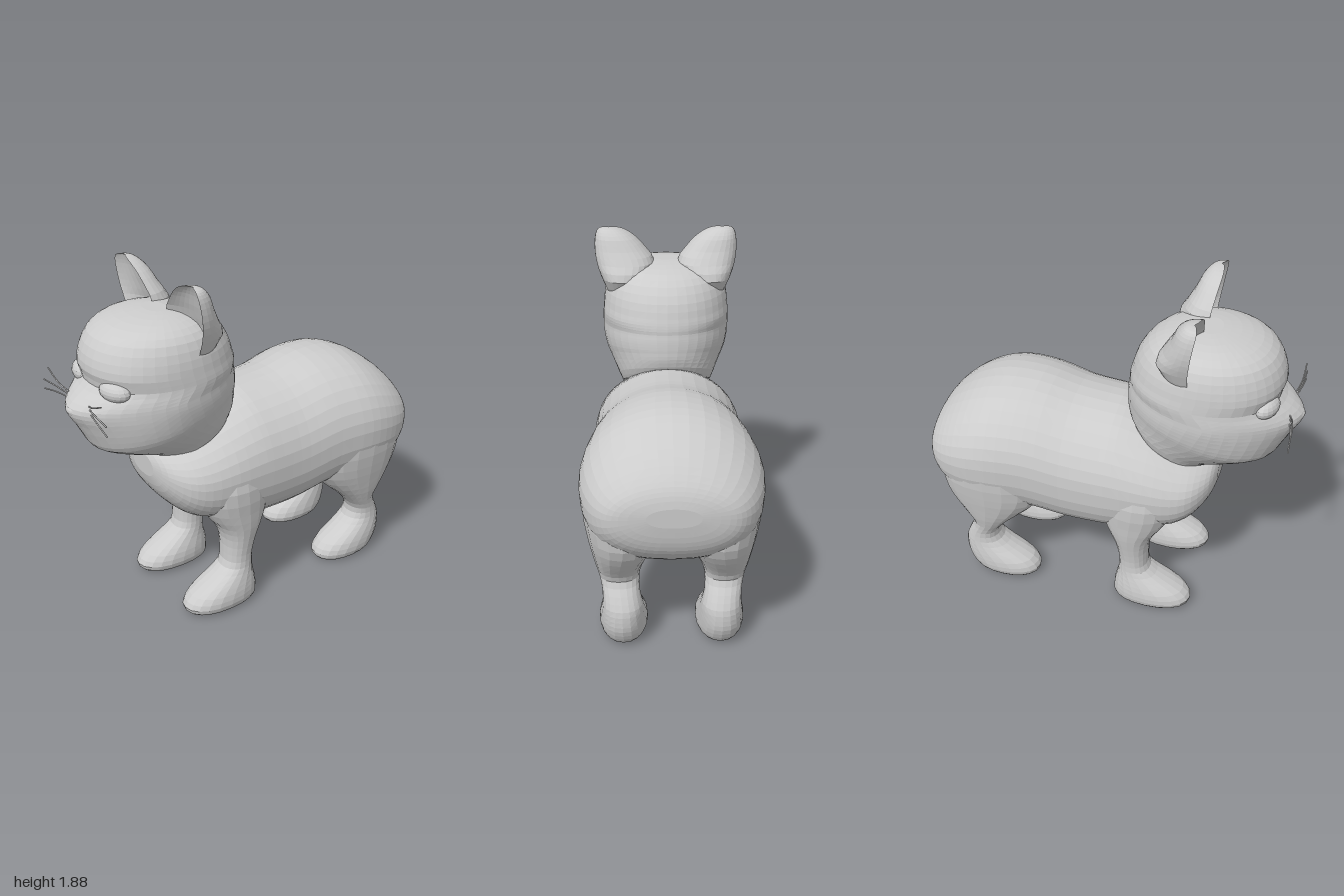
import * as THREE from 'three';

const material = new THREE.MeshStandardMaterial({ color: 0xcccccc, flatShading: true, side: THREE.DoubleSide });

// Smoothly resample a table of cross-section values along its length
function smoothRows(rows, steps) {
  const n = rows.length - 1;
  const out = [];
  for (let i = 0; i <= n * steps; i++) {
    const k = Math.min(Math.floor(i / steps), n - 1), t = i / steps - k;
    const [a, b, c, d] = [k - 1, k, k + 1, k + 2].map(j => rows[Math.max(0, Math.min(n, j))]);
    out.push(b.map((_, q) => b[q] + 0.5 * t * (c[q] - a[q]
      + t * (2 * a[q] - 5 * b[q] + 4 * c[q] - d[q] + t * (3 * (b[q] - c[q]) + d[q] - a[q])))));
  }
  return out;
}

// Closed skin over rings; ring(row, angle) gives one point
function loft(name, rows, steps, sides, ring) {
  const sections = smoothRows(rows, steps);
  const points = [];
  for (const row of sections)
    for (let j = 0; j < sides; j++) points.push(ring(row, (j / sides) * Math.PI * 2));
  const index = [];
  const last = sections.length - 1;
  for (let i = 0; i < last; i++) for (let j = 0; j < sides; j++) {
    const a = i * sides + j, b = i * sides + (j + 1) % sides;
    index.push(a, b, a + sides, b, b + sides, a + sides);
  }
  for (const end of [0, last]) {
    const centre = new THREE.Vector3();
    for (let j = 0; j < sides; j++) centre.addScaledVector(points[end * sides + j], 1 / sides);
    points.push(centre);
    for (let j = 0; j < sides; j++) {
      const a = end * sides + j, b = end * sides + (j + 1) % sides;
      index.push(points.length - 1, ...(end ? [a, b] : [b, a]));
    }
  }
  // Turn the faces outward
  let volume = 0;
  const cross = new THREE.Vector3();
  for (let i = 0; i < index.length; i += 3)
    volume += points[index[i]].dot(cross.crossVectors(points[index[i + 1]], points[index[i + 2]]));
  if (volume < 0) index.reverse();
  const geometry = new THREE.BufferGeometry().setFromPoints(points);
  geometry.setIndex(index);
  geometry.computeVertexNormals();
  const mesh = new THREE.Mesh(geometry, material);
  mesh.name = name;
  return mesh;
}

const power = (v, p) => Math.sign(v) * Math.abs(v) ** (2 / p);

// Body slice: z, bottom, top, half width; fuller below than above
const bodyRing = ([z, low, high, half], a) => {
  const p = Math.sin(a) > 0 ? 2 : 2.4;
  return new THREE.Vector3(half * power(Math.cos(a), p),
    (low + high) / 2 + (high - low) / 2 * power(Math.sin(a), p), z);
};

// Head slice: y, back, front, half width, front squareness, forward droop
const headRing = ([y, back, front, half, p, droop], a) => {
  const mid = (back + front) / 2, s = Math.sin(a);
  const reach = (front - mid) * power(s, s > 0 ? p : 2.05);
  return new THREE.Vector3(half * power(Math.cos(a), s > 0 ? p : 2.05), y - droop * reach, mid + reach);
};

// Leg slice: y, back, front, inner x, outer x
const legRing = side => ([y, back, front, inner, outer], a) => new THREE.Vector3(
  side * ((inner + outer) / 2 + (outer - inner) / 2 * power(Math.cos(a), 2.2)), y,
  (back + front) / 2 + (front - back) / 2 * power(Math.sin(a), 2.2));

// Ear slice: y, inner x, outer x, front z, depth; the front is hollow
const earRing = side => ([y, inner, outer, front, depth], a) => {
  const s = Math.sin(a);
  return new THREE.Vector3(side * ((inner + outer) / 2 + (outer - inner) / 2 * power(Math.cos(a), 2.3)), y,
    front - depth * (s > 0 ? power(s, 2.3) : 0.4 * s * s));
};

const bodyRows = [
  [0.597, 0.81, 0.93, 0.1], [0.57, 0.73, 0.97, 0.21], [0.5, 0.63, 1.01, 0.31],
  [0.4, 0.55, 1.06, 0.362], [0.25, 0.5, 1.13, 0.392], [0.08, 0.455, 1.19, 0.402],
  [-0.03, 0.445, 1.202, 0.404], [-0.2, 0.45, 1.22, 0.41], [-0.4, 0.49, 1.265, 0.432],
  [-0.6, 0.51, 1.262, 0.457], [-0.75, 0.53, 1.21, 0.447], [-0.87, 0.58, 1.13, 0.405],
  [-0.95, 0.66, 1.05, 0.34], [-0.985, 0.74, 0.99, 0.26], [-1, 0.83, 0.93, 0.13],
];

const headRows = [
  [1.03, 0.12, 0.56, 0.25, 2, 0.48], [1.075, 0.09, 0.61, 0.27, 2, 0.47], [1.13, 0.08, 0.79, 0.305, 2, 0.32],
  [1.17, 0.08, 0.875, 0.328, 2, 0.28], [1.21, 0.08, 0.912, 0.343, 1.95, 0.217],
  [1.265, 0.082, 0.955, 0.355, 1.8, 0.15], [1.305, 0.085, 0.99, 0.36, 1.65, 0.11],
  [1.34, 0.09, 0.99, 0.36, 1.65, 0.09], [1.375, 0.09, 0.935, 0.359, 1.85, 0.06],
  [1.415, 0.095, 0.872, 0.356, 2.1, 0.04], [1.465, 0.105, 0.888, 0.352, 2.15, 0],
  [1.54, 0.13, 0.876, 0.342, 2.1, 0], [1.62, 0.185, 0.83, 0.312, 2.1, 0], [1.67, 0.26, 0.75, 0.255, 2.1, 0],
  [1.698, 0.36, 0.64, 0.17, 2.1, 0], [1.709, 0.44, 0.55, 0.08, 2, 0],
];

const frontLegRows = [
  [0.008, 0.1, 0.44, 0.17, 0.33], [0.02, 0.075, 0.495, 0.14, 0.36], [0.06, 0.07, 0.52, 0.122, 0.378],
  [0.12, 0.075, 0.475, 0.125, 0.375], [0.18, 0.09, 0.37, 0.14, 0.36], [0.24, 0.1, 0.28, 0.15, 0.345],
  [0.32, 0.1, 0.265, 0.15, 0.345], [0.42, 0.08, 0.27, 0.135, 0.36], [0.5, 0.045, 0.3, 0.1, 0.375],
  [0.6, 0, 0.37, 0.05, 0.388], [0.75, 0, 0.41, 0.05, 0.402], [0.92, 0.06, 0.36, 0.06, 0.365],
  [1.0, 0.16, 0.28, 0.12, 0.3],
];

const hindLegRows = [
  [0.005, -0.74, -0.46, 0.18, 0.32], [0.02, -0.775, -0.41, 0.145, 0.355], [0.06, -0.805, -0.39, 0.125, 0.375],
  [0.12, -0.83, -0.43, 0.13, 0.375], [0.18, -0.835, -0.53, 0.14, 0.365], [0.24, -0.828, -0.61, 0.15, 0.355],
  [0.31, -0.795, -0.625, 0.165, 0.355], [0.38, -0.762, -0.58, 0.165, 0.37], [0.45, -0.8, -0.51, 0.145, 0.39],
  [0.54, -0.868, -0.41, 0.1, 0.41], [0.65, -0.925, -0.33, 0.05, 0.432], [0.8, -0.93, -0.32, 0.05, 0.45],
  [0.95, -0.86, -0.4, 0.05, 0.43], [1.07, -0.74, -0.5, 0.1, 0.35],
];

const earRows = [
  [1.52, 0.17, 0.32, 0.45, 0.1], [1.62, 0.11, 0.362, 0.455, 0.18], [1.7, 0.065, 0.388, 0.465, 0.155],
  [1.77, 0.108, 0.397, 0.475, 0.125], [1.83, 0.165, 0.394, 0.485, 0.108], [1.865, 0.215, 0.383, 0.49, 0.085],
  [1.882, 0.258, 0.365, 0.488, 0.06], [1.888, 0.295, 0.335, 0.48, 0.03],
];

// Whisker: root, middle and tip as x, y, z
const whiskers = [
  [[0.07, 1.315, 0.92], [0.18, 1.355, 0.95], [0.28, 1.4, 0.955]],
  [[0.07, 1.305, 0.92], [0.2, 1.33, 0.955], [0.33, 1.32, 0.96]],
  [[0.07, 1.29, 0.92], [0.2, 1.295, 0.95], [0.33, 1.27, 0.96]],
];

function ellipsoid(name, position, size) {
  const mesh = new THREE.Mesh(new THREE.SphereGeometry(1, 16, 10), material);
  mesh.name = name;
  mesh.position.set(...position);
  mesh.scale.set(...size);
  return mesh;
}

export function createModel() {
  const cat = new THREE.Group();
  cat.name = 'cat';
  cat.add(loft('body', bodyRows, 3, 36, bodyRing));
  cat.add(loft('head', headRows, 2, 40, headRing));
  cat.add(ellipsoid('nose', [0, 1.28, 0.958], [0.06, 0.03, 0.04]));

  for (const side of [1, -1]) {
    const label = side > 0 ? 'left' : 'right';
    cat.add(loft(label + 'FrontLeg', frontLegRows, 2, 20, legRing(side)));
    cat.add(loft(label + 'HindLeg', hindLegRows, 2, 20, legRing(side)));
    cat.add(loft(label + 'Ear', earRows, 2, 28, earRing(side)));

    // Half-closed eye
    const eye = ellipsoid(label + 'Eye', [side * 0.165, 1.4, 0.82], [0.09, 0.052, 0.055]);
    eye.rotation.y = side * 0.35;
    cat.add(eye);

    whiskers.forEach((points, i) => {
      const curve = new THREE.CatmullRomCurve3(points.map(([x, y, z]) => new THREE.Vector3(side * x, y, z)));
      const whisker = new THREE.Mesh(new THREE.TubeGeometry(curve, 8, 0.004, 5), material);
      whisker.name = label + 'Whisker' + (i + 1);
      cat.add(whisker);
    });
  }
  return cat;
}
